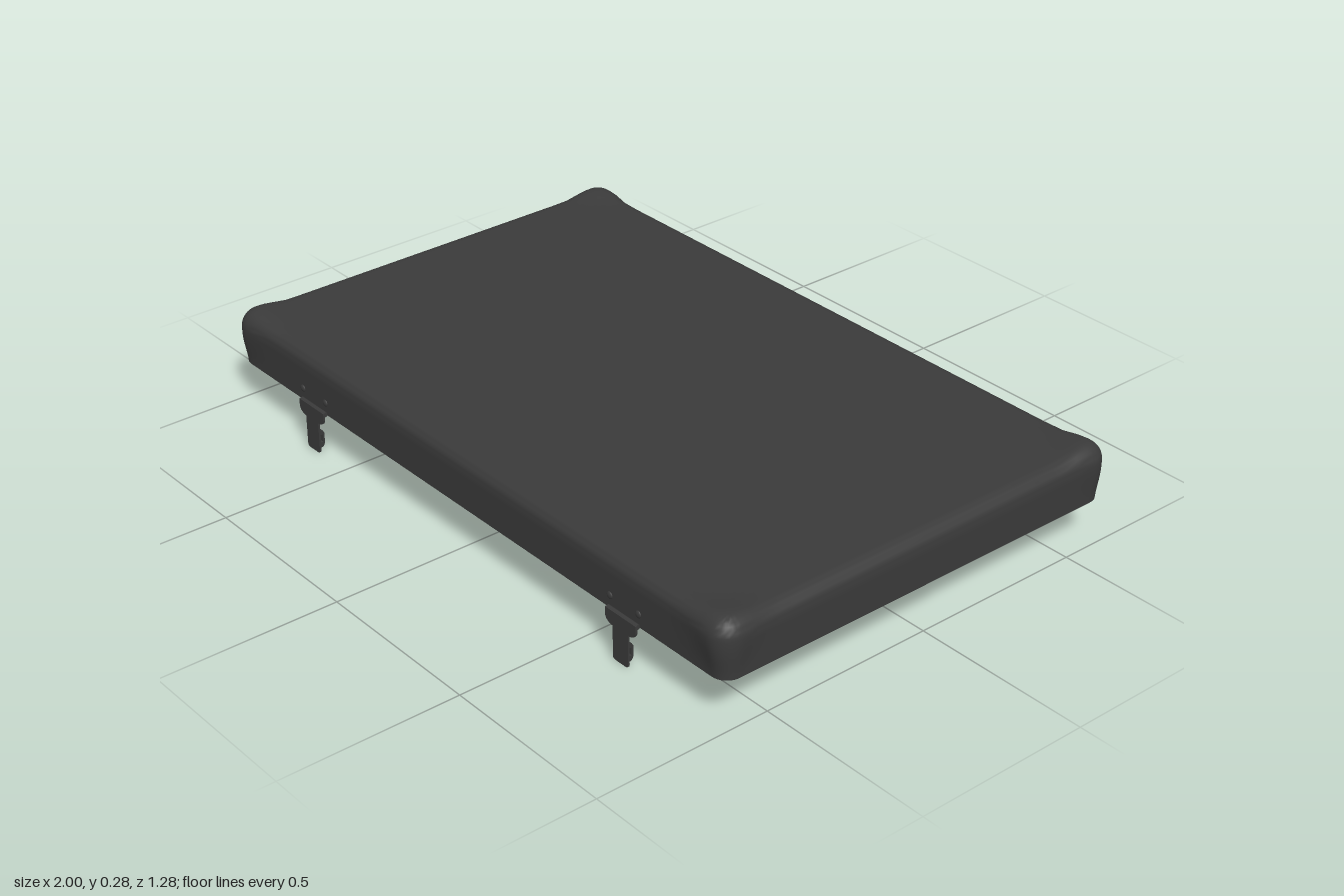
import * as THREE from 'three';
import { toCreasedNormals } from 'three/addons/utils/BufferGeometryUtils.js';

const HX = 0.993, HZ = 0.625, TOP = 0.268, RIM = 0.125, RADIUS = 0.045;

// Rounded rectangle, inset from the outer wall, counter-clockwise from above
function ring(inset, y) {
  const hx = Math.max(HX - inset, 0), hz = Math.max(HZ - inset, 0);
  const r = Math.min(Math.max(RADIUS - inset, 0.003), hx, hz);
  const corners = [[1, 1], [-1, 1], [-1, -1], [1, -1]];
  const ARC = 8, SIDE = 22, pts = [];
  corners.forEach(([sx, sz], k) => {
    for (let i = 0; i <= ARC; i++) {
      const a = (k + i / ARC) * Math.PI / 2;
      pts.push(new THREE.Vector3(sx * (hx - r) + r * Math.cos(a), y, -sz * (hz - r) - r * Math.sin(a)));
    }
    // straight side, sampled more finely near its ends
    const from = pts[pts.length - 1].clone();
    const [nx, nz] = corners[(k + 1) % 4], a = (k + 1) * Math.PI / 2;
    const to = new THREE.Vector3(nx * (hx - r) + r * Math.cos(a), y, -nz * (hz - r) - r * Math.sin(a));
    for (let i = 1; i < SIDE; i++) pts.push(from.clone().lerp(to, (1 - Math.cos(Math.PI * i / SIDE)) / 2));
  });
  return pts;
}

// Swells the skin outward around the four upper corners
function swell(p) {
  const d = Math.hypot(1 - Math.abs(p.x), TOP + 0.01 - p.y, 0.635 - Math.abs(p.z));
  const amount = 0.0125 * (1 - THREE.MathUtils.smoothstep(d, 0.07, 0.165));
  const m = 0.05;
  const q = new THREE.Vector3(
    THREE.MathUtils.clamp(p.x, -HX + m, HX - m),
    Math.min(p.y, TOP - m),
    THREE.MathUtils.clamp(p.z, -HZ + m, HZ - m));
  const n = p.clone().sub(q).normalize();
  p.add(new THREE.Vector3(n.x * 0.6, n.y, n.z).multiplyScalar(amount));
}

// Hollow lid: one skin running over the top, round the rim and back inside
function lidGeometry() {
  const outer = [[HZ, TOP], [0.4, TOP]];
  for (let inset = 0.26; inset > 0.05; inset -= 0.016) outer.push([inset, TOP]);
  const f = 0.038;
  for (let i = 0; i <= 8; i++) {
    const a = i / 8 * Math.PI / 2;
    outer.push([f * (1 - Math.sin(a)), TOP - f * (1 - Math.cos(a))]);
  }
  for (let y = 0.216; y > RIM + 0.005; y -= 0.013) outer.push([0, y]);
  outer.push([0, RIM]);
  const inner = [[0.014, RIM], [0.014, 0.15], [0.026, 0.153], [0.028, 0.225],
    [0.033, 0.24], [0.045, 0.25], [0.06, 0.253], [HZ, 0.253]];

  const rows = [...outer, ...inner].map(([inset, y], i) => {
    const pts = ring(inset, y);
    if (i < outer.length) pts.forEach(swell);
    return pts;
  });
  const n = rows[0].length, index = [];
  for (let i = 0; i < rows.length - 1; i++) {
    for (let j = 0; j < n; j++) {
      const a = i * n + j, b = i * n + (j + 1) % n, c = a + n, d = b + n;
      index.push(a, c, b, c, d, b);
    }
  }
  const g = new THREE.BufferGeometry().setFromPoints(rows.flat());
  g.setIndex(index);
  return toCreasedNormals(g, 0.7);
}

export function createModel() {
  const model = new THREE.Group();
  model.name = 'caseLid';
  const dark = new THREE.MeshStandardMaterial({ color: 0x3a3a3a });

  function add(parent, name, geometry, x = 0, y = 0, z = 0) {
    const mesh = new THREE.Mesh(geometry, dark);
    mesh.name = name;
    mesh.position.set(x, y, z);
    parent.add(mesh);
    return mesh;
  }

  add(model, 'lidShell', lidGeometry());

  // Latch plate: wide at the pivot, narrowing to a hanging tongue
  const plate = new THREE.Shape();
  plate.moveTo(-0.056, 0.132);
  plate.lineTo(-0.056, 0.11);
  plate.quadraticCurveTo(-0.052, 0.094, -0.028, 0.092);
  plate.lineTo(-0.028, 0.01);
  plate.quadraticCurveTo(-0.028, 0, -0.018, 0);
  plate.lineTo(0.018, 0);
  plate.quadraticCurveTo(0.028, 0, 0.028, 0.01);
  plate.lineTo(0.028, 0.092);
  plate.quadraticCurveTo(0.052, 0.094, 0.056, 0.11);
  plate.lineTo(0.056, 0.132);
  const plateGeometry = new THREE.ExtrudeGeometry(plate, { depth: 0.005, bevelEnabled: false, curveSegments: 6 });

  // Catch: a small slotted block behind the tongue, drawn in side profile
  const hook = new THREE.Shape([[0, 0.01], [0.012, 0.014], [0.017, 0.022], [0.017, 0.054], [0.012, 0.062], [0, 0.066]]
    .map(([x, y]) => new THREE.Vector2(x, y)));
  hook.holes.push(new THREE.Path([[0.005, 0.028], [0.005, 0.05], [0.012, 0.05], [0.012, 0.028]]
    .map(([x, y]) => new THREE.Vector2(x, y))));
  const hookGeometry = new THREE.ExtrudeGeometry(hook, { depth: 0.044, bevelEnabled: false });
  hookGeometry.translate(0, 0, -0.022).rotateY(Math.PI / 2);

  const pinGeometry = new THREE.CylinderGeometry(0.007, 0.007, 0.11, 14).rotateZ(Math.PI / 2);
  const barrelGeometry = new THREE.CylinderGeometry(0.008, 0.008, 0.115, 14).rotateZ(Math.PI / 2);
  const rivetGeometry = new THREE.SphereGeometry(0.01, 14, 6, 0, Math.PI * 2, 0, Math.PI / 2)
    .rotateX(Math.PI / 2).scale(1, 1, 0.5);

  for (const side of [-1, 1]) {
    const latch = new THREE.Group();
    latch.name = side > 0 ? 'leftLatch' : 'rightLatch';
    latch.position.x = side * 0.64;
    model.add(latch);
    add(latch, 'latchPlate', plateGeometry, 0, 0, 0.632);
    add(latch, 'latchCatch', hookGeometry, 0, 0, 0.633);
    add(latch, 'latchPin', pinGeometry, 0, 0.127, 0.629);
    for (const s of [-1, 1]) add(latch, 'latchRivet', rivetGeometry, s * 0.052, 0.16, HZ);

    const hinge = new THREE.Group();
    hinge.name = side > 0 ? 'leftHinge' : 'rightHinge';
    hinge.position.x = side * 0.64;
    model.add(hinge);
    add(hinge, 'hingeBarrel', barrelGeometry, 0, 0.126, -0.632);
    add(hinge, 'hingeLeaf', new THREE.BoxGeometry(0.115, 0.016, 0.006), 0, 0.137, -0.626);
  }
  return model;
}
